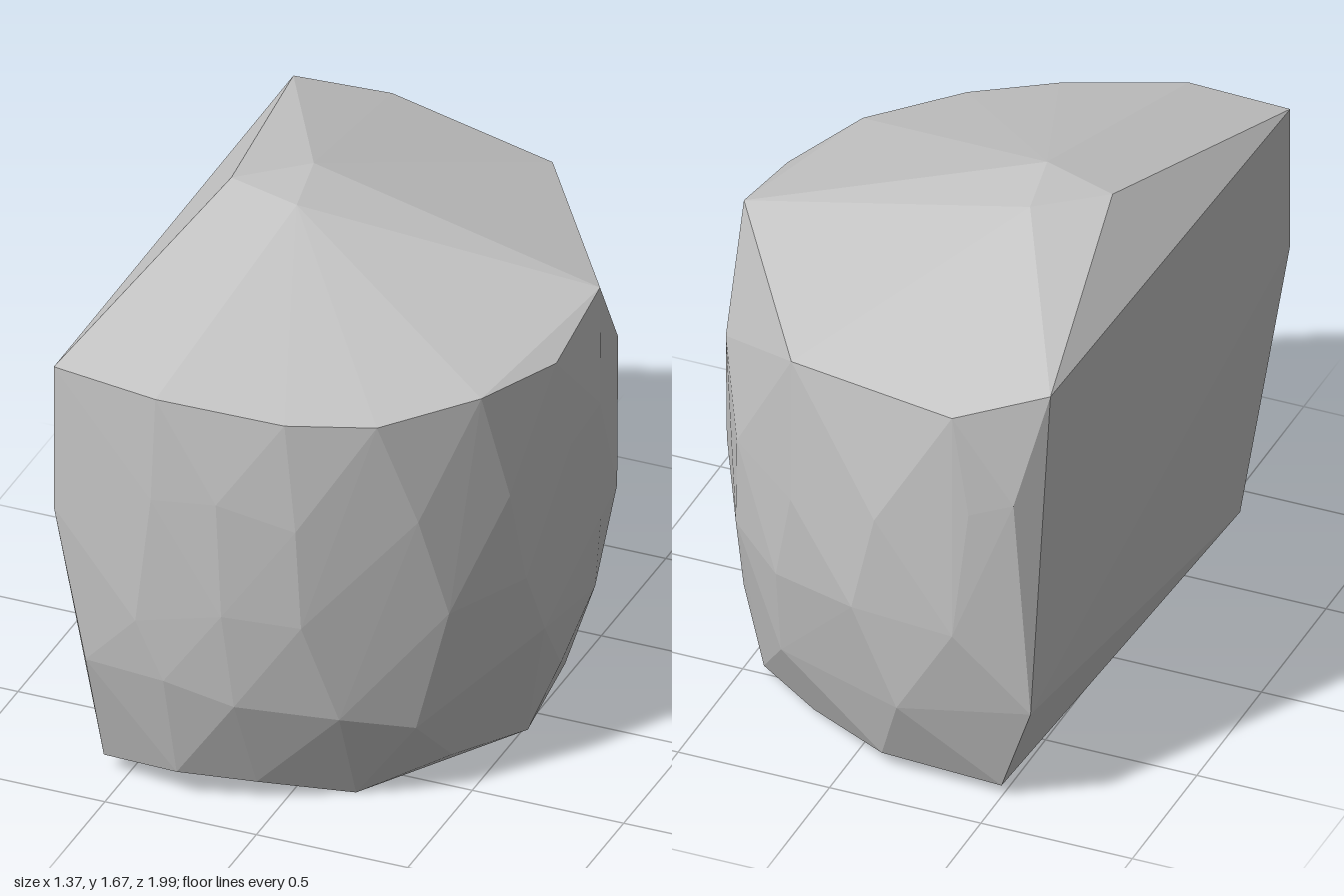
import * as THREE from 'three';
import { ConvexGeometry } from 'three/addons/geometries/ConvexGeometry.js';

// Round flank: radius by height, about a vertical axis at x = -0.315
const flankRadius = (y) => (y > 0.9 ? 1.002 - 0.09 * (y - 0.9) ** 2 : 1.002 - 0.23 * (0.9 - y) ** 3);

function flankPoint([degrees, y]) {
  const a = THREE.MathUtils.degToRad(degrees);
  const r = flankRadius(y);
  return new THREE.Vector3(-0.315 + r * Math.cos(a), y, r * Math.sin(a));
}

export function createModel() {
  const stone = new THREE.MeshStandardMaterial({ color: 0xc5c5c5 });
  stone.name = 'stone grey';

  // Chipped corners on the flank: [angle from +x towards +z, height]
  const flank = [
    // upper band
    [92, 1.1], [80, 1.12], [66, 1.04], [44, 1.03], [25, 1.02], [8, 1.07], [-4, 1.1],
    [-24, 1.13], [-39, 0.92], [-60, 0.92], [-80, 1.0], [-98, 1.1], [-106, 1.15],
    // middle band
    [95, 0.66], [79, 0.73], [65, 0.7], [38, 0.68], [21, 0.7], [-4, 0.7],
    [-17, 0.68], [-37, 0.6], [-55, 0.6], [-75, 0.65], [-95, 0.65],
    // lower band
    [90, 0.46], [77, 0.4], [58, 0.35], [43, 0.27], [15, 0.47], [6, 0.26],
    [-4, 0.45], [-30, 0.29], [-52, 0.28], [-83, 0.31],
  ].map(flankPoint);

  // Peak of the sloping top
  const peak = [[-0.5, 1.67, 0.02], [-0.25, 1.675, 0.1], [-0.3, 1.675, -0.15]];

  // Rim around the top
  const rim = [
    [-0.69, 1.465, 0.95], [-0.34, 1.45, 0.985], [0.05, 1.4, 0.9], [0.3, 1.38, 0.77],
    [0.53, 1.39, 0.5], [0.65, 1.38, 0.2], [0.645, 1.455, -0.15], [0.19, 1.41, -0.85],
    [-0.4, 1.44, -0.99], [-0.67, 1.51, -0.86],
  ];

  // Remaining corners of the flat split side
  const split = [[-0.69, 0.97, 0.95], [-0.59, 0.45, 0.94], [-0.63, 0.38, -0.92]];

  // Edge of the base
  const base = [
    [-0.58, 0.05, 0.82], [-0.31, 0.09, 0.89], [-0.08, 0.065, 0.81], [0.18, 0, 0.65],
    [0.4, 0.06, 0.42], [0.53, 0.025, 0.14], [0.53, 0.1, -0.15], [0.43, 0.03, -0.5],
    [0.2, 0.02, -0.65], [-0.1, 0.05, -0.83], [-0.5, 0.04, -0.84],
  ];

  const corners = [...peak, ...rim, ...split, ...base].map((p) => new THREE.Vector3(...p));
  const rock = new THREE.Mesh(new ConvexGeometry([...corners, ...flank]), stone);
  rock.name = 'rock';

  const model = new THREE.Group();
  model.name = 'split boulder';
  model.add(rock);
  return model;
}
